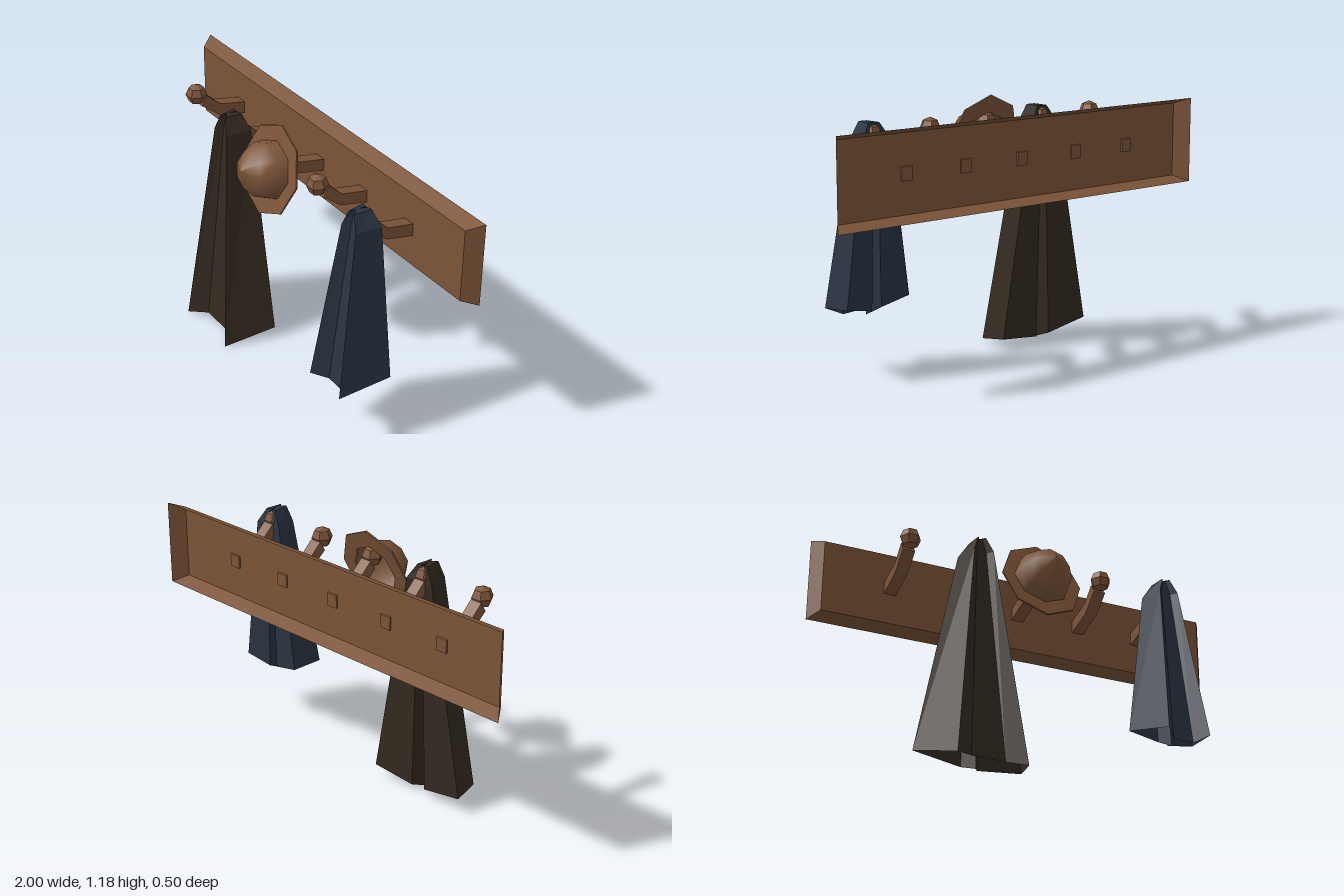
import * as THREE from 'three';

const paint = (color, name) => {
  const m = new THREE.MeshStandardMaterial({ color, side: THREE.DoubleSide });
  m.name = name;
  return m;
};

// Hard-edged copy of a geometry
const faceted = (geometry) => {
  const g = geometry.index ? geometry.toNonIndexed() : geometry;
  g.computeVertexNormals();
  return g;
};

// Quads between successive rings of n points
const bridge = (idx, rings, n) => {
  for (let k = 0; k < rings - 1; k++) {
    for (let i = 0; i < n; i++) {
      const a = k * n + i, b = k * n + (i + 1) % n;
      idx.push(a, a + n, b, b, a + n, b + n);
    }
  }
};

const build = (pos, idx) => {
  const g = new THREE.BufferGeometry();
  g.setAttribute('position', new THREE.Float32BufferAttribute(pos, 3));
  g.setIndex(idx);
  return faceted(g);
};

export function createModel() {
  const root = new THREE.Group();
  const wood = paint(0x7d5539, 'warm brown');
  const darkCloth = paint(0x342a20, 'dark brown cloth');
  const blueCloth = paint(0x2a3442, 'navy cloth');

  const add = (parent, geometry, material, name, x = 0, y = 0, z = 0) => {
    const mesh = new THREE.Mesh(geometry, material);
    mesh.name = name;
    mesh.position.set(x, y, z);
    parent.add(mesh);
    return mesh;
  };

  // Wall board: front panel with flared rims, hollow behind
  const boardPos = [], boardIdx = [];
  for (const [x, y0, y1, z] of [[0.955, 0.755, 1.098, -0.182], [1, 0.73, 1.124, -0.25]]) {
    boardPos.push(-x, y0, z, x, y0, z, x, y1, z, -x, y1, z);
  }
  bridge(boardIdx, 2, 4);
  boardIdx.push(0, 1, 2, 0, 2, 3);
  add(root, build(boardPos, boardIdx), wood, 'wallBoard');

  // Five bent pegs with faceted knobs; their ends show behind the panel
  const side = new THREE.Shape([
    [-0.19, 0.898], [-0.045, 0.935], [0.05, 1.01],
    [0.02, 1.055], [-0.05, 0.99], [-0.19, 0.957],
  ].map(([z, y]) => new THREE.Vector2(z, y)));
  const pegGeo = new THREE.ExtrudeGeometry(side, { depth: 0.056, bevelEnabled: false });
  pegGeo.translate(0, 0, -0.028).rotateY(-Math.PI / 2);
  const knobGeo = faceted(new THREE.SphereGeometry(0.049, 6, 4));
  for (const x of [-0.64, -0.327, -0.012, 0.3, 0.612]) {
    const peg = new THREE.Group();
    peg.name = 'peg';
    peg.position.x = x;
    add(peg, pegGeo, wood, 'pegArm');
    add(peg, knobGeo, wood, 'pegKnob', 0, 1.063, 0.06);
    root.add(peg);
  }

  // Hat: open eight-sided crown and thin brim, tipped back on its peg
  const hat = new THREE.Group();
  hat.name = 'hat';
  const lathe = (pts) => new THREE.LatheGeometry(pts.map(([r, h]) => new THREE.Vector2(r, h)), 8);
  add(hat, lathe([[0.137, 0], [0.126, 0.06], [0.085, 0.125], [0, 0.168]]), wood, 'hatCrown');
  const brim = lathe([[0.13, 0], [0.21, 0], [0.21, 0.008], [0.13, 0.008]]);
  add(hat, faceted(brim), wood, 'hatBrim').scale.x = 0.92;
  hat.position.set(-0.012, 0.985, 0.078);
  hat.rotation.x = Math.PI / 2 - 0.29;
  root.add(hat);

  // Hanging coat, open at the hem, with a narrow pleat down the back
  // Outline: x as a share of half width, z from back (0) to front (1)
  const outline = [
    [-1, 0], [-0.56, 1], [-0.22, 0.74], [0.4, 0.74],
    [0.72, 1], [1, 0], [0.15, 0.06], [0, 0.4], [-0.15, 0.06],
  ];
  const coat = (name, material, cx, hemX, hemHalf, hemY) => {
    const rings = [
      { x: cx, w: 0.028, back: 0.04, front: 0.122, y: () => 1.115 },
      { x: cx, w: 0.072, back: 0.02, front: 0.138, y: () => 1.045 },
      { x: hemX, w: hemHalf, back: 0.018, front: 0.253, y: (i) => hemY[i] },
    ];
    const n = outline.length, pos = [], idx = [];
    for (const r of rings) {
      outline.forEach(([u, v], i) => pos.push(r.x + u * r.w, r.y(i), r.back + v * (r.front - r.back)));
    }
    bridge(idx, rings.length, n);
    // Collar cap
    pos.push(cx, 1.12, 0.09);
    for (let i = 0; i < n; i++) idx.push(rings.length * n, i, (i + 1) % n);
    add(root, build(pos, idx), material, name);
  };
  coat('longCoat', darkCloth, -0.325, -0.33, 0.25,
    [0.085, 0.015, 0.033, 0.028, 0.005, 0.06, 0.035, 0.01, 0.04]);
  coat('shortCoat', blueCloth, 0.613, 0.617, 0.162,
    [0.355, 0.3, 0.277, 0.272, 0.295, 0.335, 0.31, 0.275, 0.32]);

  return root;
}
